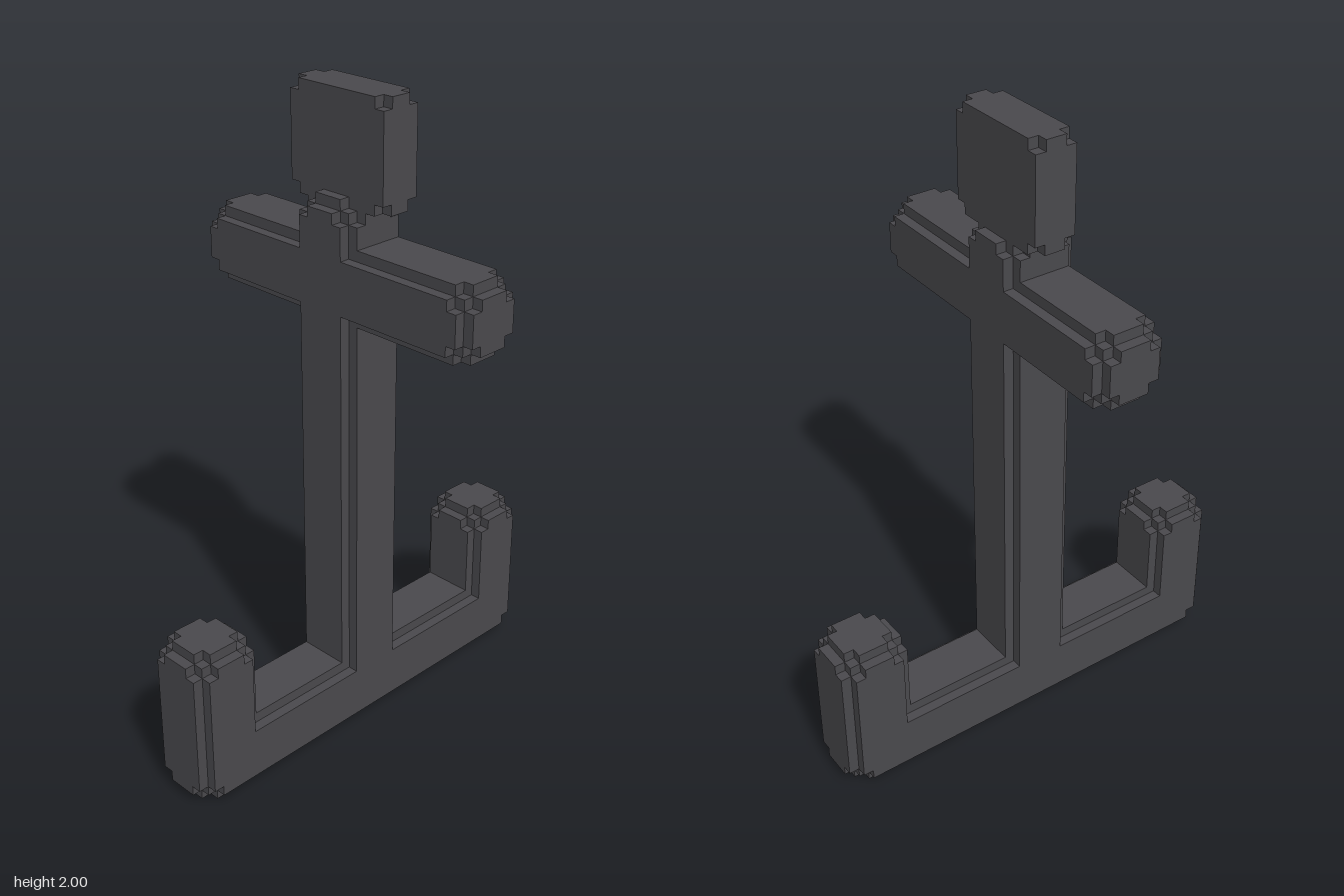
import * as THREE from 'three';
import { mergeGeometries } from 'three/addons/utils/BufferGeometryUtils.js';

const S = 2 / 62; // edge length of one block unit

// Box between two corners (in block units), shrunk by inset [x, y, z] on both sides
function block(min, max, inset) {
  const size = min.map((v, i) => (max[i] - v - 2 * inset[i]) * S);
  const mid = min.map((v, i) => ((max[i] + v) / 2) * S);
  return new THREE.BoxGeometry(...size).translate(...mid);
}

// Stepped bar: every edge notched by one block, corners notched further
const barInsets = [
  [1, 1, 1],
  [0, 1, 2], [0, 2, 1],
  [1, 0, 2], [2, 0, 1],
  [1, 2, 0], [2, 1, 0],
];
// Plain block with only its eight corner cells removed
const slabInsets = [[1, 0, 0], [0, 1, 0], [0, 0, 1]];

export function createModel() {
  const group = new THREE.Group();
  const iron = new THREE.MeshStandardMaterial({ color: 0x4a494d });
  iron.name = 'darkIron';

  const add = (name, min, max, insets = barInsets) => {
    const mesh = new THREE.Mesh(mergeGeometries(insets.map((i) => block(min, max, i))), iron);
    mesh.name = name;
    group.add(mesh);
  };

  // Upright and the bar across its foot
  add('shank', [-3.5, 0, -4], [3.5, 53, 3]);
  add('base', [-21.5, 0, -4], [21.5, 7, 3]);

  // Upturned arms at both ends of the base
  add('leftArm', [14.5, 0, -4], [21.5, 16, 3]);
  add('rightArm', [-21.5, 0, -4], [-14.5, 16, 3]);

  // Crossbar running front to back
  add('stock', [-3.5, 42, -16], [3.5, 49, 16]);

  // Thin slab on top
  add('head', [-1.5, 52, -6], [2.5, 62, 5], slabInsets);

  return group;
}
